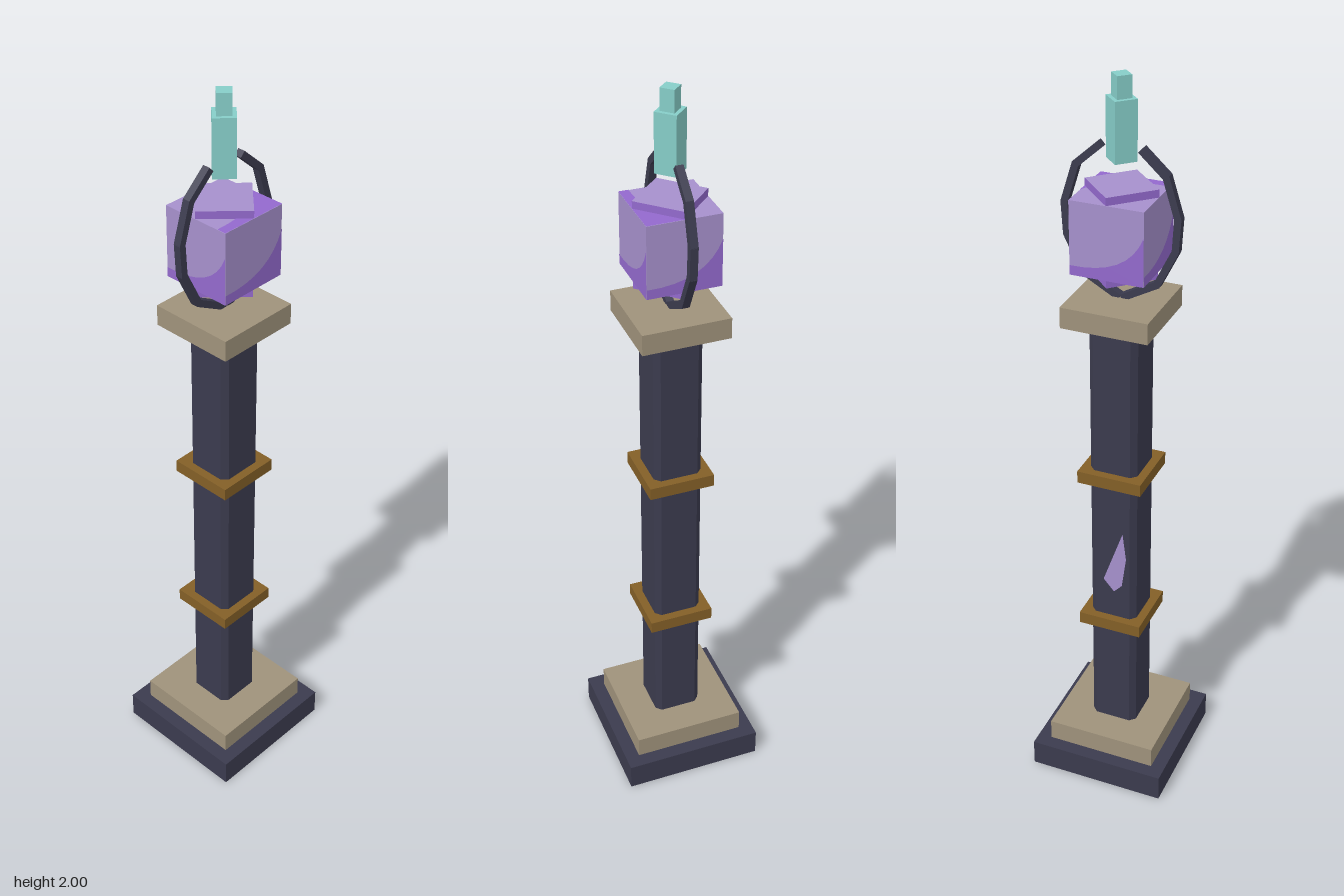
import * as THREE from 'three';

export function createModel() {
  const model = new THREE.Group();
  const mat = (name, color, side = THREE.FrontSide) => {
    const m = new THREE.MeshStandardMaterial({ color, side });
    m.name = name;
    return m;
  };
  const iron = mat('dark iron', 0x3b3b4e, THREE.DoubleSide);
  const stone = mat('tan stone', 0x9f927b);
  const bronze = mat('bronze', 0x835f27);
  const violet = mat('violet crystal', 0x9369cd);
  const lilac = mat('pale lilac crystal', 0xa690cc, THREE.DoubleSide);
  const teal = mat('teal crystal', 0x86cdc8);

  const add = (name, geometry, material, y = 0, parent = model) => {
    const mesh = new THREE.Mesh(geometry, material);
    mesh.name = name;
    mesh.position.y = y;
    parent.add(mesh);
    return mesh;
  };
  // square slab from y0 to y1
  const slab = (name, width, y0, y1, material) =>
    add(name, new THREE.BoxGeometry(width, y1 - y0, width), material, (y0 + y1) / 2);
  // four-sided prism with its corners on the x and z axes
  const diamond = (name, radius, y0, y1, material) =>
    add(name, new THREE.CylinderGeometry(radius, radius, y1 - y0, 4).toNonIndexed(), material, (y0 + y1) / 2)
      .geometry.computeVertexNormals();

  // plinth, hollow underneath: drop the bottom face group
  const plinth = new THREE.BoxGeometry(0.384, 0.076, 0.384);
  const index = Array.from(plinth.index.array);
  index.splice(18, 6);
  plinth.setIndex(index);
  plinth.clearGroups();
  add('plinth', plinth, iron, 0.038);
  slab('plinthStep', 0.308, 0.076, 0.136, stone);

  // column with chamfered corners
  const h = 0.065, c = 0.05;
  const section = new THREE.Shape([
    [h, -c], [h, c], [c, h], [-c, h], [-h, c], [-h, -c], [-c, -h], [c, -h],
  ].map(([x, y]) => new THREE.Vector2(x, y)));
  const column = new THREE.ExtrudeGeometry(section, { depth: 1.25, bevelEnabled: false });
  column.rotateX(-Math.PI / 2);
  add('column', column, iron, 0.136);
  for (const y of [0.485, 0.945]) slab('columnBand', 0.176, y - 0.017, y + 0.017, bronze);
  slab('capital', 0.23, 1.386, 1.442, stone);

  // pale sliver on the back of the column
  const sliver = new THREE.Shape([
    [0.03, 0.78], [0.04, 0.7], [0.028, 0.61], [0.005, 0.585], [-0.025, 0.62],
  ].map(([x, y]) => new THREE.Vector2(x, y)));
  const mark = add('columnSliver', new THREE.ShapeGeometry(sliver), lilac);
  mark.rotation.y = Math.PI;
  mark.position.z = -h - 0.001;

  // crystal: a cube crossed by a slightly taller diamond prism
  const crystal = new THREE.Group();
  crystal.name = 'crystal';
  crystal.position.y = 1.62;
  model.add(crystal);
  const a = 0.095;
  add('crystalCube', new THREE.BoxGeometry(2 * a, 2 * a, 2 * a),
    [lilac, lilac, lilac, violet, lilac, lilac], 0, crystal);
  const core = new THREE.CylinderGeometry(a, a, 0.23, 4).toNonIndexed();
  core.computeVertexNormals();
  add('crystalCore', core, [violet, lilac, violet], 0, crystal);

  // deeper violet corner painted on the faces
  const patch = new THREE.Shape();
  patch.moveTo(-a, -a);
  patch.lineTo(a, -a);
  patch.lineTo(a, 0.03);
  patch.quadraticCurveTo(0.055, -0.075, -a, -0.07);
  const patchGeo = new THREE.ShapeGeometry(patch, 8).translate(0, 0, a + 0.001);
  for (let i = 0; i < 4; i++) {
    add('crystalPatch', patchGeo, violet, 0, crystal).rotation.y = i * Math.PI / 2;
  }
  add('crystalTopPatch', patchGeo, violet, 0, crystal).rotation.x = -Math.PI / 2;

  // two curved claws in the x-y plane, made of straight bars
  const path = [[0.005, 1.443], [0.095, 1.493], [0.141, 1.587], [0.146, 1.67], [0.115, 1.77], [0.053, 1.826]];
  for (const side of [1, -1]) {
    const claw = new THREE.Group();
    claw.name = side > 0 ? 'leftClaw' : 'rightClaw';
    model.add(claw);
    for (let i = 0; i < path.length - 1; i++) {
      const [x0, y0] = path[i], [x1, y1] = path[i + 1];
      const length = Math.hypot(x1 - x0, y1 - y0) + 0.005;
      const bar = add('clawBar', new THREE.BoxGeometry(0.018, length, 0.02), iron, (y0 + y1) / 2, claw);
      bar.position.x = side * (x0 + x1) / 2;
      bar.rotation.z = -side * Math.atan2(x1 - x0, y1 - y0);
    }
  }

  // floating finial
  diamond('finialBody', 0.04, 1.795, 1.945, teal);
  diamond('finialTip', 0.026, 1.945, 2, teal);
  return model;
}
